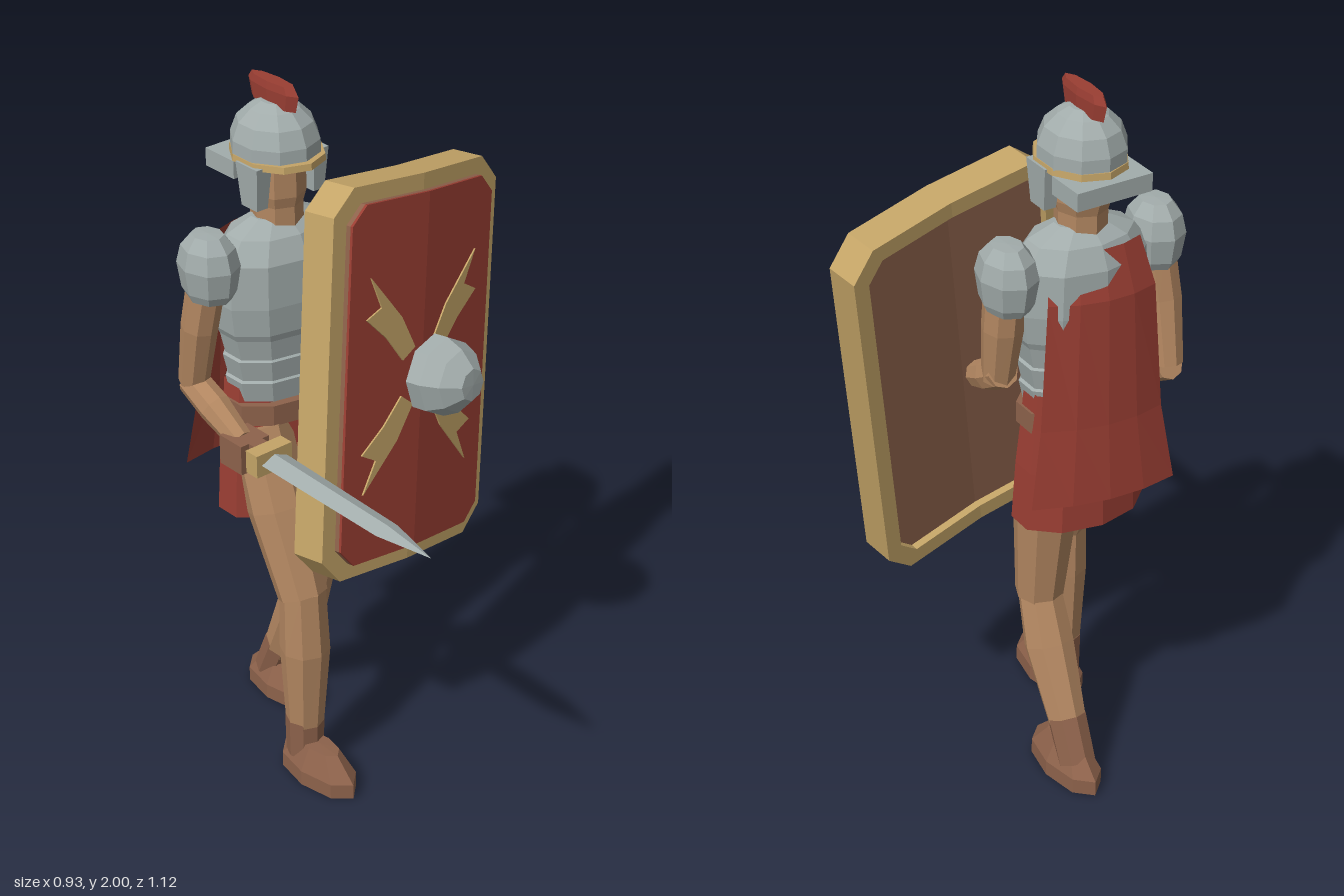
import * as THREE from 'three';

const mat = (name, color) => Object.assign(new THREE.MeshStandardMaterial({ color, flatShading: true }), { name });

export function createModel() {
  const steel = mat('steel', 0xa2acab), skin = mat('skin', 0xb38761), red = mat('red cloth', 0x9a3e33);
  const gold = mat('gold trim', 0xc4a467), leather = mat('leather', 0x8d624b);
  red.side = THREE.DoubleSide;

  const model = new THREE.Group();
  const add = (name, geo, m, x = 0, y = 0, z = 0, parent = model) => {
    const mesh = new THREE.Mesh(geo, m);
    mesh.name = name;
    mesh.position.set(x, y, z);
    parent.add(mesh);
    return mesh;
  };
  // turned solid with an elliptical plan; profile runs bottom to top as [radius, height]
  const turned = (profile, sides, sx = 1, sz = 1) =>
    new THREE.LatheGeometry(profile.map(p => new THREE.Vector2(...p)), sides).scale(sx, 1, sz);
  // eight-sided limb whose rings follow the points [x, y, z, radius] from the top down
  const limb = (name, pts, m) => {
    const n = pts.length - 1, up = new THREE.Vector3(0, 1, 0);
    const at = i => new THREE.Vector3(...pts[Math.min(n, Math.max(0, i))]);
    const geo = new THREE.CylinderGeometry(1, 1, 1, 8, n), p = geo.attributes.position;
    for (let k = 0; k < p.count; k++) {
      const i = Math.round((0.5 - p.getY(k)) * n), r = pts[i][3];
      const turn = new THREE.Quaternion().setFromUnitVectors(up, at(i - 1).sub(at(i + 1)).normalize());
      const v = new THREE.Vector3(p.getX(k) * r, 0, p.getZ(k) * r).applyQuaternion(turn).add(at(i));
      p.setXYZ(k, v.x, v.y, v.z);
    }
    geo.computeVertexNormals();
    add(name, geo, m);
  };
  const BX = -0.17, BZ = -0.28; // body axis

  // Legs: right one forward, left one trailing
  limb('rightThigh', [[-0.262, 1.04, -0.26, 0.085], [-0.267, 0.82, -0.18, 0.088], [-0.268, 0.58, -0.085, 0.07]], skin);
  limb('rightCalf', [[-0.268, 0.6, -0.085, 0.064], [-0.27, 0.41, -0.077, 0.07], [-0.27, 0.08, -0.085, 0.048]], skin);
  limb('leftThigh', [[-0.085, 1.04, -0.285, 0.08], [-0.077, 0.79, -0.28, 0.087], [-0.075, 0.51, -0.262, 0.067]], skin);
  limb('leftCalf', [[-0.075, 0.53, -0.258, 0.06], [-0.075, 0.37, -0.315, 0.07], [-0.075, 0.08, -0.455, 0.047]], skin);
  limb('rightAnkleStrap', [[-0.27, 0.18, -0.084, 0.055], [-0.27, 0.06, -0.085, 0.053]], leather);
  limb('leftAnkleStrap', [[-0.075, 0.18, -0.41, 0.055], [-0.075, 0.06, -0.465, 0.053]], leather);
  const shoe = [[0, 0], [1, 0], [1, 0.045], [0.55, 0.11], [0, 0.112]];
  add('rightShoe', turned(shoe, 8, 0.066, 0.147), leather, -0.27, 0, -0.025);
  add('leftShoe', turned(shoe, 8, 0.066, 0.147), leather, -0.075, 0, -0.413);

  // Tunic skirt, belt and banded armour
  add('tunicSkirt', turned([[0.98, 0.78], [0.93, 0.95], [0.86, 1.08], [0.82, 1.18]], 10, 0.197, 0.126), red, BX, 0, BZ - 0.015);
  add('belt', turned([[0, 1.065], [1, 1.065], [1, 1.125], [0, 1.125]], 10, 0.173, 0.117), leather, BX, 0, BZ);
  const bands = [[0, 1.12]];
  for (let i = 0; i < 3; i++) bands.push([0.77 + i * 0.03, 1.13 + i * 0.065], [0.84 + i * 0.03, 1.19 + i * 0.065]);
  bands.push([0.95, 1.34], [1, 1.42], [0.97, 1.54], [0.75, 1.6], [0.38, 1.635], [0, 1.635]);
  add('armour', turned(bands, 10, 0.2, 0.13), steel, BX, 0, BZ);

  // Cape: a bowed sheet widening toward the hem
  const rows = [[1.59, 0.125, -0.382], [1.46, 0.15, -0.418], [1.1, 0.172, -0.432], [0.88, 0.205, -0.45]];
  const cape = new THREE.PlaneGeometry(2, 1, 4, rows.length - 1);
  const cp = cape.attributes.position;
  for (let i = 0; i < cp.count; i++) {
    const u = cp.getX(i), [y, w, z] = rows[Math.floor(i / 5)];
    cp.setXYZ(i, BX + u * w, y, z + 0.035 * u * u + 0.13 * u * w);
  }
  add('cape', cape, red);

  // Arms and shoulder guards
  limb('rightUpperArm', [[-0.39, 1.54, -0.29, 0.052], [-0.405, 1.36, -0.32, 0.05], [-0.4, 1.18, -0.36, 0.042]], skin);
  limb('rightForearm', [[-0.4, 1.18, -0.37, 0.042], [-0.395, 1.13, -0.28, 0.045], [-0.39, 1.07, -0.18, 0.034]], skin);
  limb('leftUpperArm', [[0.05, 1.54, -0.28, 0.058], [0.055, 1.38, -0.27, 0.056], [0.055, 1.22, -0.25, 0.044]], skin);
  limb('leftForearm', [[0.055, 1.25, -0.275, 0.044], [0.055, 1.21, -0.21, 0.044], [0.055, 1.18, -0.15, 0.036]], skin);
  const pauldron = [[0, 1.455], [0.055, 1.455], [0.067, 1.48], [0.077, 1.55], [0.066, 1.6], [0.04, 1.635], [0, 1.637]];
  add('rightShoulderGuard', turned(pauldron, 8, 1, 1.2), steel, -0.392, 0, -0.288);
  add('leftShoulderGuard', turned(pauldron, 8, 1, 1.25), steel, 0.05, -0.015, -0.28);

  // Sword
  add('rightHand', new THREE.BoxGeometry(0.095, 0.085, 0.09), leather, -0.39, 1.05, -0.165);
  add('swordGrip', new THREE.BoxGeometry(0.045, 0.045, 0.15), leather, -0.388, 1.07, -0.13);
  add('swordGuard', new THREE.BoxGeometry(0.118, 0.065, 0.045), gold, -0.39, 1.07, -0.063);
  add('swordBlade', turned([[0.043, 0], [0.037, 0.44], [0, 0.605]], 4, 1, 0.45), steel, -0.39, 1.07, -0.04).rotation.x = Math.PI / 2 + 0.025;

  // Head and helmet
  add('head', turned([[0.068, 1.6], [0.068, 1.67], [0.076, 1.7], [0.076, 1.85], [0, 1.85]], 8, 1, 1.08), skin, BX, 0, -0.278);
  add('helmetDome', turned([[0, 1.8], [0.116, 1.8], [0.115, 1.85], [0.098, 1.897], [0.065, 1.93], [0.035, 1.947], [0, 1.948]], 10, 1, 1.08), steel, BX, 0, -0.277);
  add('helmetBrim', turned([[0, 1.797], [0.122, 1.797], [0.12, 1.815], [0, 1.815]], 10, 0.98, 1.13), gold, BX, 0, -0.27);
  add('neckGuard', new THREE.BoxGeometry(0.222, 0.05, 0.115), steel, BX, 1.77, -0.37);
  for (const s of [-1, 1]) {
    const cheek = new THREE.CylinderGeometry(0.058, 0.042, 0.12, 4).rotateY(Math.PI / 4).scale(0.6, 1, 1.05);
    add(s < 0 ? 'rightCheekGuard' : 'leftCheekGuard', cheek, steel, BX + s * 0.095, 1.745, -0.25);
  }
  add('helmetCrest', turned([[0, 1.93], [0.88, 1.935], [1, 1.98], [0.85, 2], [0, 2]], 8, 0.024, 0.1), red, BX, 0, -0.28);

  // Shield: two flat halves meeting at a shallow central fold
  const shield = new THREE.Group();
  shield.name = 'shield';
  shield.position.set(0.073, 1.183, -0.006);
  shield.rotation.set(-0.086, 0.135, -0.163, 'YXZ');
  model.add(shield);
  const fold = geo => {
    const p = geo.attributes.position;
    for (let i = 0; i < p.count; i++) p.setZ(i, p.getZ(i) - 0.06 * Math.abs(p.getX(i)));
    geo.computeVertexNormals();
    return geo;
  };
  const half = (s, w, h, c) => [[0, -h], [s * (w - c), -h], [s * w, c - h], [s * w, h - c], [s * (w - c), h], [0, h]];
  const slab = (pts, from, to) => {
    const shape = new THREE.Shape(pts.map(p => new THREE.Vector2(...p)));
    return fold(new THREE.ExtrudeGeometry(shape, { depth: to - from, bevelEnabled: false }).translate(0, 0, from));
  };
  const ray = [[0.035, 0.08], [0.09, 0.172], [0.212, 0.3], [0.168, 0.212], [0.222, 0.187], [0.143, 0.122], [0.08, 0.05]];
  for (const s of [-1, 1]) {
    const outer = half(s, 0.328, 0.542, 0.07), inner = half(s, 0.282, 0.497, 0.05);
    add('shieldRim', slab([...outer, ...inner.slice().reverse()], -0.1, 0), gold, 0, 0, 0, shield);
    add('shieldFace', slab(inner, 0.014, 0.022), red, 0, 0, 0, shield);
    add('shieldBack', slab(inner, -0.078, 0.014), leather, 0, 0, 0, shield);
    for (const t of [-1, 1])
      add('shieldRay', slab(ray.map(([u, v]) => [s * u, t * v]), 0.022, 0.027), gold, 0, 0, 0, shield);
  }
  const boss = turned([[0, 0], [0.11, 0], [0.11, 0.045], [0.088, 0.095], [0.045, 0.138], [0, 0.14]], 8);
  add('shieldBoss', boss, steel, 0.005, 0.005, 0.055, shield).rotation.x = Math.PI / 2;

  return model;
}
